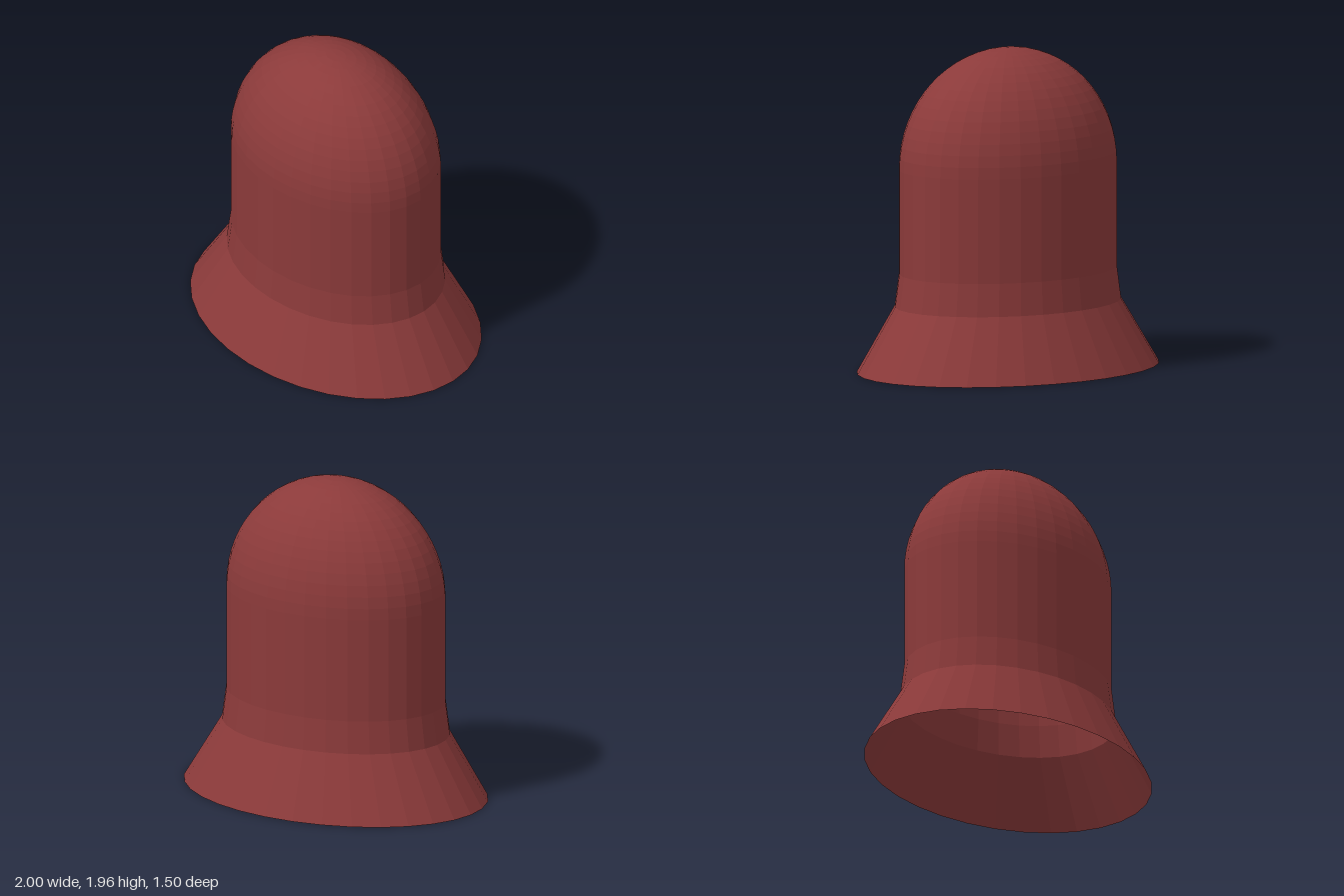
import * as THREE from 'three';

export function createModel() {
  const model = new THREE.Group();
  const material = new THREE.MeshStandardMaterial({
    color: 0x8b3a3a, flatShading: true, side: THREE.DoubleSide,
  });

  const radius = 0.722, domeBase = 1.24, domeHeight = 0.722, rings = 16;

  // Open oval sections, turned round y and narrowed front to back
  function addShell(name, profile) {
    const points = profile.map(([r, y]) => new THREE.Vector2(r, y));
    const geometry = new THREE.LatheGeometry(points, 32);
    geometry.scale(1, 1, 0.75);
    const mesh = new THREE.Mesh(geometry, material);
    mesh.name = name;
    model.add(mesh);
  }

  // Flared skirt, slight neck and straight wall
  addShell('flaredRim', [[1, 0], [0.75, 0.4]]);
  addShell('neck', [[0.75, 0.4], [radius, 0.6]]);
  addShell('wall', [[radius, 0.6], [radius, domeBase]]);

  // Rounded crown
  const dome = [];
  for (let i = 0; i <= rings; i++) {
    const a = (i / rings) * Math.PI / 2;
    dome.push([i === rings ? 0 : radius * Math.cos(a), domeBase + domeHeight * Math.sin(a)]);
  }
  addShell('dome', dome);

  return model;
}
